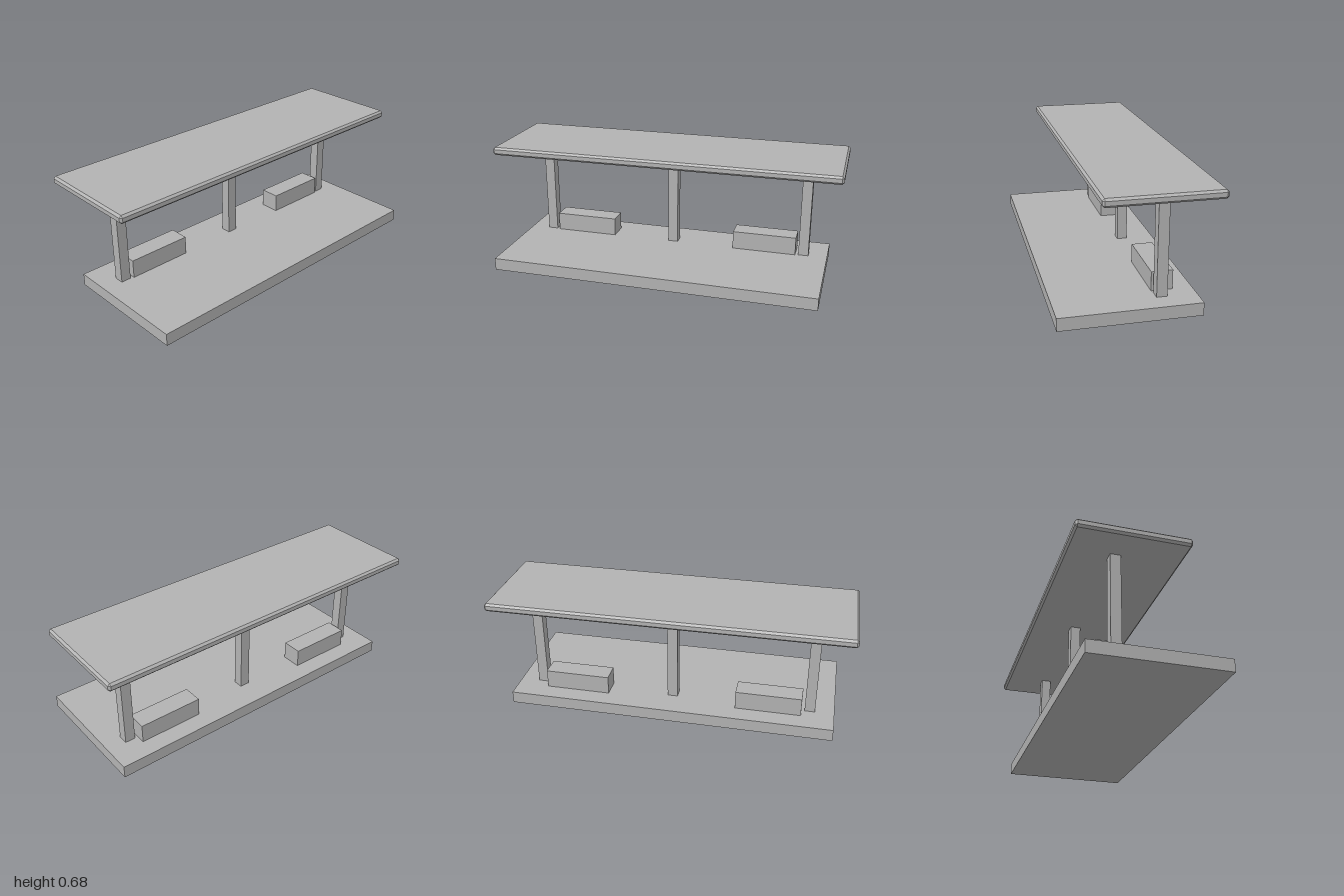
import * as THREE from 'three';
import { ConvexGeometry } from 'three/addons/geometries/ConvexGeometry.js';

const concrete = new THREE.MeshStandardMaterial({ color: 0xb3b3b3 });
concrete.name = 'concrete grey';

// Box given by its minimum and maximum on each axis
function box(name, [x0, x1], [y0, y1], [z0, z1]) {
  const mesh = new THREE.Mesh(new THREE.BoxGeometry(x1 - x0, y1 - y0, z1 - z0), concrete);
  mesh.position.set((x0 + x1) / 2, (y0 + y1) / 2, (z0 + z1) / 2);
  mesh.name = name;
  return mesh;
}

// Box with every edge chamfered: three points at each corner
function chamferedBox(w, h, d, c) {
  const points = [];
  for (const sx of [-1, 1]) for (const sy of [-1, 1]) for (const sz of [-1, 1]) {
    const x = w / 2, y = h / 2, z = d / 2;
    points.push(
      new THREE.Vector3(sx * x, sy * (y - c), sz * (z - c)),
      new THREE.Vector3(sx * (x - c), sy * y, sz * (z - c)),
      new THREE.Vector3(sx * (x - c), sy * (y - c), sz * z));
  }
  return new ConvexGeometry(points);
}

export function createModel() {
  const model = new THREE.Group();
  model.name = 'platformShelter';

  // Platform slab
  model.add(box('platform', [-0.928, 0.928], [0, 0.07], [-0.335, 0.406]));

  // Three square posts
  for (const x of [-0.791, 0, 0.791]) {
    model.add(box('post', [x - 0.029, x + 0.029], [0.07, 0.632], [-0.179, -0.122]));
  }

  // Two solid benches
  for (const x of [-0.558, 0.558]) {
    model.add(box('bench', [x - 0.186, x + 0.186], [0.07, 0.176], [-0.231, -0.115]));
  }

  // Chamfered roof slab, set back over the benches
  const roof = new THREE.Mesh(chamferedBox(2, 0.046, 0.605, 0.0115), concrete);
  roof.position.set(0, 0.652, -0.103);
  roof.name = 'roof';
  model.add(roof);

  return model;
}
